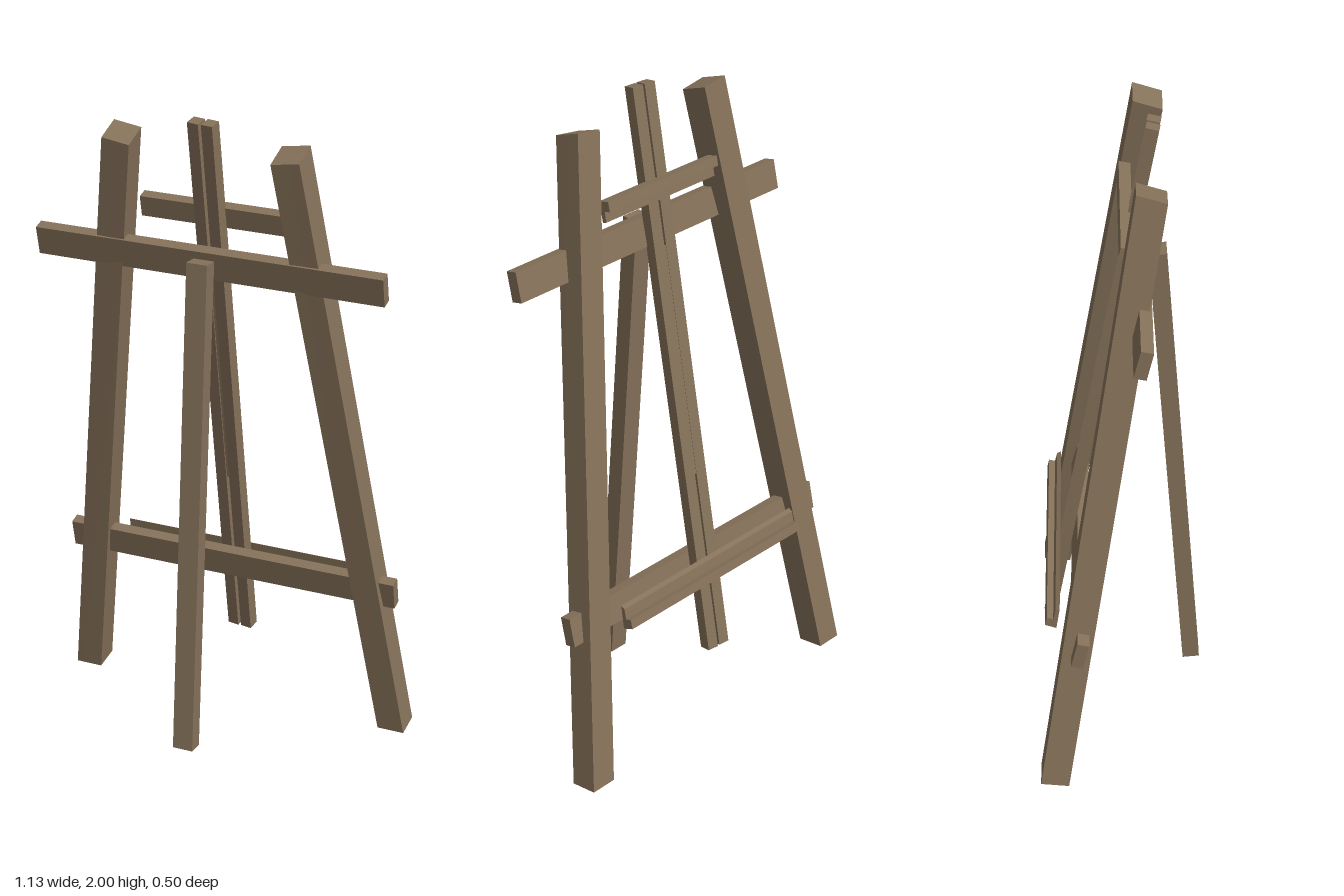
import * as THREE from 'three';

const wood = new THREE.MeshStandardMaterial({ color: 0x86725a });
wood.name = 'brownWood';

function addMesh(group, name, geometry) {
  const mesh = new THREE.Mesh(geometry, wood);
  mesh.name = name;
  group.add(mesh);
  return mesh;
}

// Straight timber between two end centres; its ends stay aligned with x and z.
// tilt(dx, dz, isTop) raises the corners of the end cuts.
function beam(bottom, top, width, depth, tilt) {
  const geo = new THREE.BoxGeometry(width, 1, depth);
  const p = geo.attributes.position;
  for (let i = 0; i < p.count; i++) {
    const isTop = p.getY(i) > 0;
    const c = isTop ? top : bottom;
    const dx = p.getX(i), dz = p.getZ(i);
    p.setXYZ(i, c[0] + dx, c[1] + tilt(dx, dz, isTop), c[2] + dz);
  }
  geo.computeVertexNormals();
  return geo;
}

// Bar along x made from a (z, y) profile
function profileBar(points, length) {
  const shape = new THREE.Shape(points.map(([z, y]) => new THREE.Vector2(-z, y)));
  const geo = new THREE.ExtrudeGeometry(shape, { depth: length, bevelEnabled: false });
  geo.translate(0, 0, -length / 2);
  geo.rotateY(Math.PI / 2);
  return geo;
}

export function createModel() {
  const easel = new THREE.Group();
  easel.name = 'easel';

  // Two splayed main legs with slanted end cuts
  for (const s of [1, -1]) {
    addMesh(easel, s > 0 ? 'leftLeg' : 'rightLeg', beam(
      [s * 0.523, 0.008, -0.208], [s * 0.257, 1.93, 0.078], 0.085, 0.085,
      (dx, dz, isTop) => (isTop ? s * dx * 0.15 - dz * 0.33 : -dz * 0.12)));
  }

  // Wide cross rails, tilted with the legs
  for (const [name, y, z] of [['upperRail', 1.565, 0.053], ['lowerRail', 0.513, -0.127]]) {
    const rail = addMesh(easel, name, new THREE.BoxGeometry(1.076, 0.09, 0.036));
    rail.position.set(0, y, z);
    rail.rotation.x = 0.22;
  }

  // Prop strut
  addMesh(easel, 'propStrut', beam(
    [-0.004, 0.04, 0.223], [-0.004, 1.585, 0.103], 0.064, 0.052,
    (dx, dz) => dz * (dz > 0 ? 0.1 : 0.12)));

  // Centre mast: paired strips with a narrow slot, joined by a spacer
  const mast = new THREE.Group();
  mast.name = 'centreMast';
  mast.position.set(0, 1.122, -0.065);
  mast.rotation.x = 0.174;
  easel.add(mast);
  for (const s of [1, -1]) {
    const strip = addMesh(mast, s > 0 ? 'leftMastStrip' : 'rightMastStrip',
      new THREE.BoxGeometry(0.036, 1.775, 0.038));
    strip.position.set(s * 0.022 - 0.001, 0, s * 0.002);
    strip.rotation.y = -0.15;
  }
  const spacer = addMesh(mast, 'mastSpacer', new THREE.BoxGeometry(0.014, 0.72, 0.034));
  spacer.position.y = 0.05;

  // Ledge and clamp: angled bars with a lip
  addMesh(easel, 'canvasLedge', profileBar([
    [-0.187, 0.555], [-0.2, 0.548], [-0.207, 0.516],
    [-0.226, 0.521], [-0.232, 0.493], [-0.198, 0.48],
  ], 0.754));
  addMesh(easel, 'canvasClamp', profileBar([
    [0.03, 1.728], [-0.004, 1.735], [-0.01, 1.706],
    [0.01, 1.702], [0.004, 1.67], [0.017, 1.665],
  ], 0.45));

  return easel;
}
